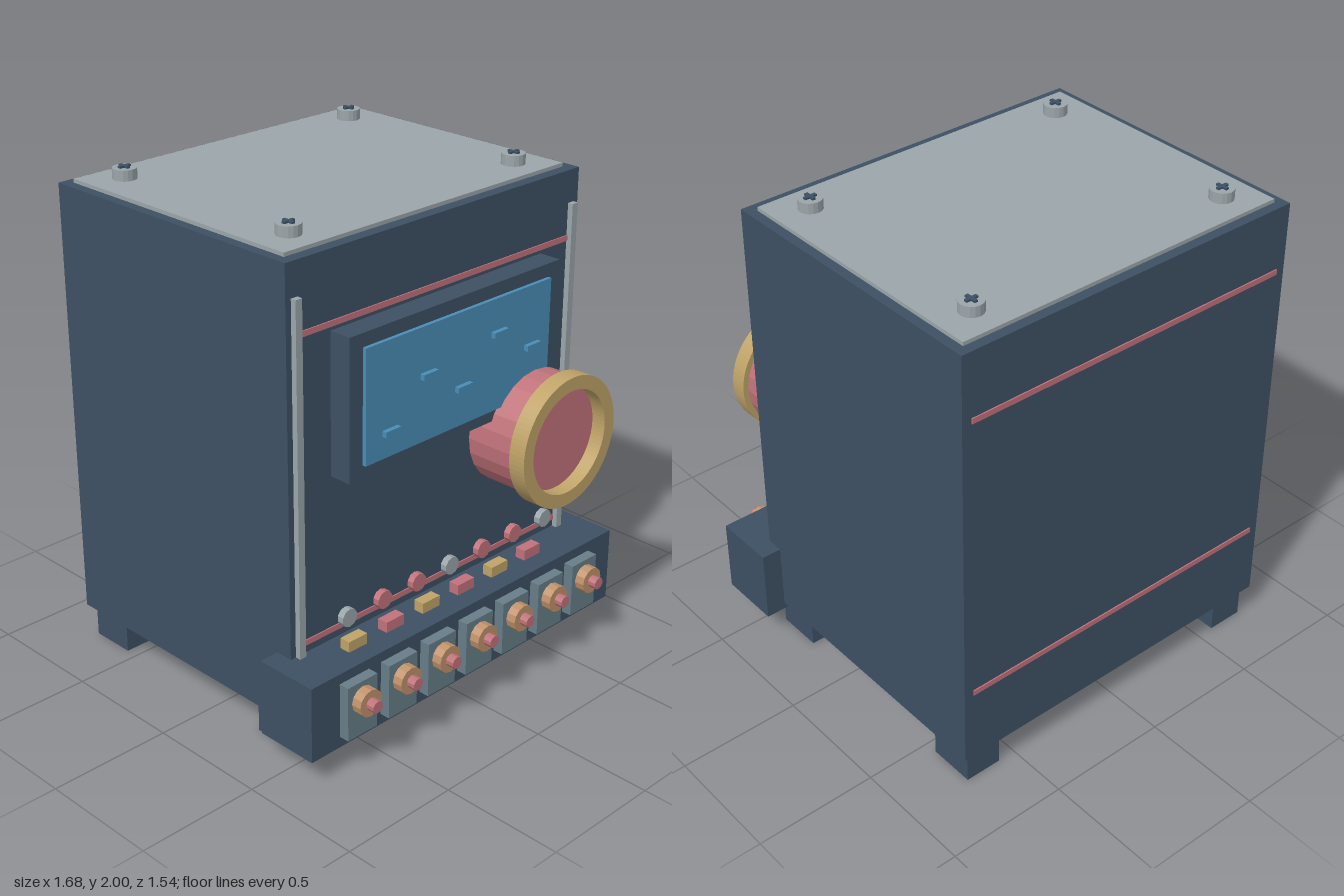
import * as THREE from 'three';

const mat = (name, color) => {
  const m = new THREE.MeshStandardMaterial({ color, flatShading: true });
  m.name = name;
  return m;
};

export function createModel() {
  const root = new THREE.Group();
  root.name = 'controlCabinet';

  const navy = mat('navyCasing', 0x3d5064);
  const grey = mat('lightGrey', 0x9ba5a9);
  const red = mat('dustyRed', 0xc0727a);
  const gold = mat('brassGold', 0xbfa368);
  const copper = mat('copper', 0xc0926a);
  const blue = mat('screenBlue', 0x4a8db6);
  const slate = mat('slatePlate', 0x677d88);

  const add = (name, geo, material, parent = root) => {
    const m = new THREE.Mesh(geo, material);
    m.name = name;
    parent.add(m);
    return m;
  };
  // Box given by its extents on each axis
  const box = (name, material, [x0, x1], [y0, y1], [z0, z1], parent) => {
    const m = add(name, new THREE.BoxGeometry(x1 - x0, y1 - y0, z1 - z0), material, parent);
    m.position.set((x0 + x1) / 2, (y0 + y1) / 2, (z0 + z1) / 2);
    return m;
  };
  // Cylinder running along z
  const rod = (name, material, r, sides, x, y, z0, z1, parent) => {
    const g = new THREE.CylinderGeometry(r, r, z1 - z0, sides).rotateX(Math.PI / 2);
    const m = add(name, g, material, parent);
    m.position.set(x, y, (z0 + z1) / 2);
    return m;
  };

  // Casing, front console and lid
  box('casing', navy, [-0.76, 0.76], [0.14, 1.935], [-0.77, 0.457]);
  box('frontConsole', navy, [-0.842, 0.842], [0.11, 0.42], [0.385, 0.65]);
  box('lidPlate', grey, [-0.72, 0.72], [1.93, 1.95], [-0.73, 0.41]);

  for (const s of [-1, 1]) {
    // Feet
    box('frontFoot', navy, [s * 0.652 - 0.077, s * 0.652 + 0.077], [0, 0.145], [0.24, 0.432]);
    box('backFoot', navy, [s * 0.652 - 0.077, s * 0.652 + 0.077], [0, 0.145], [-0.745, -0.553]);

    // Upright rails on the front
    box('frontRail', grey, [s * 0.72 - 0.015, s * 0.72 + 0.015], [0.415, 1.805], [0.45, 0.48]);

    // Lid screws with cross slots
    for (const z of [-0.603, 0.283]) {
      const screw = new THREE.Group();
      screw.name = 'lidScrew';
      screw.position.set(s * 0.58, 1.95, z);
      root.add(screw);
      add('screwHead', new THREE.CylinderGeometry(0.047, 0.047, 0.042, 16), grey, screw).position.y = 0.021;
      box('slotAcross', navy, [-0.025, 0.025], [0.04, 0.05], [-0.007, 0.007], screw);
      box('slotAlong', navy, [-0.007, 0.007], [0.04, 0.0498], [-0.025, 0.025], screw);
    }
  }

  // Trim stripes, front and back
  for (const y of [0.462, 1.666]) {
    box('frontStripe', red, [-0.72, 0.72], [y - 0.011, y + 0.011], [0.454, 0.462]);
    box('backStripe', red, [-0.72, 0.72], [y - 0.011, y + 0.011], [-0.775, -0.767]);
  }

  // Screen with raised marks
  box('screenFrame', navy, [-0.554, 0.554], [1.087, 1.64], [0.45, 0.55]);
  box('screen', blue, [-0.49, 0.49], [1.14, 1.587], [0.545, 0.566]);
  [[-0.37, 1.24], [-0.18, 1.4], [0.006, 1.293], [0.196, 1.452], [0.386, 1.346]].forEach(([x, y]) =>
    box('screenMark', blue, [x - 0.038, x + 0.038], [y - 0.011, y + 0.011], [0.56, 0.585]));

  // Large dial: drum with a brass rim around its recessed face
  const dial = new THREE.Group();
  dial.name = 'dial';
  dial.position.set(0.418, 0.993, 0);
  root.add(dial);
  rod('dialDrum', red, 0.243, 24, 0, 0, 0.45, 0.69, dial);
  const ring = new THREE.Shape().absarc(0, 0, 0.266, 0, Math.PI * 2);
  ring.holes.push(new THREE.Path().absarc(0, 0, 0.211, 0, Math.PI * 2, true));
  const rim = new THREE.ExtrudeGeometry(ring, { depth: 0.072, bevelEnabled: false, curveSegments: 40 });
  add('dialRim', rim, gold, dial).position.z = 0.678;

  // Row of indicator lamps
  for (let i = 0; i < 7; i++) {
    rod('indicatorLamp', i % 3 ? red : grey, 0.037, 10, -0.537 + i * 0.183, 0.535, 0.508, 0.535);
  }

  // Push buttons on the console top
  for (let i = 0; i < 6; i++) {
    const x = -0.53 + i * 0.195;
    box('pushButton', i % 2 ? red : gold, [x - 0.046, x + 0.046], [0.41, 0.463], [0.525, 0.57]);
  }

  // Sockets along the console front
  for (let i = -3; i <= 3; i++) {
    const x = i * 0.2095;
    box('socketPlate', slate, [x - 0.074, x + 0.074], [0.156, 0.379], [0.645, 0.693]);
    rod('socketNut', copper, 0.055, 12, x, 0.304, 0.69, 0.735);
    rod('socketPin', red, 0.025, 10, x, 0.304, 0.73, 0.77);
  }

  return root;
}
